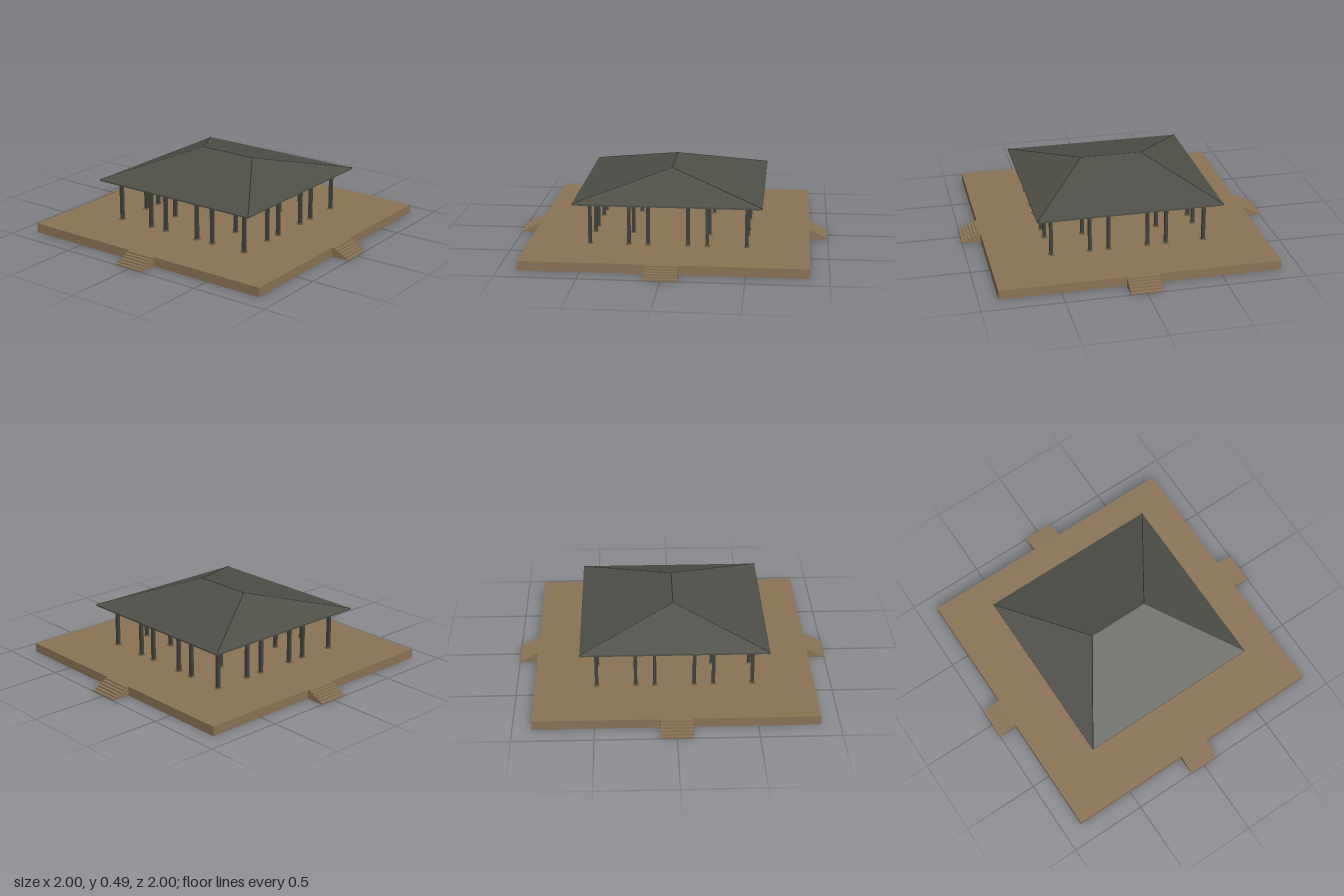
import * as THREE from 'three';

const mat = (name, color) => {
  const m = new THREE.MeshStandardMaterial({ color });
  m.name = name;
  return m;
};

export function createModel() {
  const root = new THREE.Group();
  root.name = 'pavilion';
  const tan = mat('tan stone', 0x8b7355);
  const baseTan = mat('dark tan', 0x75603f);
  const roofGrey = mat('roof grey', 0x4e4f47);
  const frameGrey = mat('frame dark grey', 0x40423c);
  const capGrey = mat('ridge dark', 0x2f312d);

  const group = (name) => {
    const g = new THREE.Group();
    g.name = name;
    root.add(g);
    return g;
  };
  // Box given by its centre in x and z and its bottom and top heights
  const box = (parent, name, m, w, d, y0, y1, x = 0, z = 0) => {
    const b = new THREE.Mesh(new THREE.BoxGeometry(w, y1 - y0, d), m);
    b.position.set(x, (y0 + y1) / 2, z);
    b.name = name;
    parent.add(b);
    return b;
  };

  // Platform
  box(root, 'platform', tan, 1.76, 1.76, 0, 0.06);

  // One flight of steps per side, extruded from a stair profile
  const profile = new THREE.Shape();
  profile.moveTo(0.88, 0);
  for (let i = 0; i < 6; i++) {
    profile.lineTo(0.88 + i * 0.02, 0.06 - i * 0.01);
    profile.lineTo(0.9 + i * 0.02, 0.06 - i * 0.01);
  }
  profile.lineTo(1, 0);
  const stairGeo = new THREE.ExtrudeGeometry(profile, { depth: 0.2, bevelEnabled: false });
  stairGeo.translate(0, 0, -0.1);
  const stairs = group('stairs');
  for (let i = 0; i < 4; i++) {
    const s = new THREE.Mesh(stairGeo, tan);
    s.name = 'stair';
    s.rotation.y = (i * Math.PI) / 2;
    stairs.add(s);
  }

  // Columns: six along each side, plus four inside
  const columns = group('columns');
  const spots = [-0.49, -0.245, -0.125, 0.125, 0.245, 0.49];
  for (const x of spots) {
    for (const z of spots) {
      const outer = Math.abs(x) === 0.49 || Math.abs(z) === 0.49;
      const inner = Math.abs(x) === 0.245 && Math.abs(z) === 0.245;
      if (!outer && !inner) continue;
      box(columns, 'columnBase', baseTan, 0.034, 0.034, 0.06, 0.067, x, z);
      box(columns, 'column', frameGrey, 0.021, 0.021, 0.067, 0.325, x, z);
    }
  }

  // Beam rings over the outer and the inner columns
  const beams = group('beams');
  for (const r of [0.49, 0.245]) {
    for (const s of [-1, 1]) {
      box(beams, 'beam', frameGrey, 2 * r + 0.02, 0.02, 0.31, 0.332, 0, s * r);
      box(beams, 'beam', frameGrey, 0.02, 2 * r - 0.02, 0.31, 0.332, s * r, 0);
    }
  }

  // Hipped roof: eave slab below four slopes meeting at a ridge
  const eave = 0.588, ridge = 0.198, eaveY = 0.34, topY = 0.485;
  box(root, 'eave', roofGrey, 2 * eave, 2 * eave, 0.33, eaveY);
  const A = [-eave, eaveY, eave], B = [eave, eaveY, eave];
  const C = [eave, eaveY, -eave], D = [-eave, eaveY, -eave];
  const L = [-ridge, topY, 0], R = [ridge, topY, 0];
  const faces = [A, B, R, A, R, L, B, C, R, C, D, L, C, L, R, D, A, L];
  const roofGeo = new THREE.BufferGeometry();
  roofGeo.setAttribute('position', new THREE.Float32BufferAttribute(faces.flat(), 3));
  roofGeo.computeVertexNormals();
  const roof = new THREE.Mesh(roofGeo, roofGrey);
  roof.name = 'roofSlopes';
  root.add(roof);

  // Thin caps along the ridge and the hips
  const caps = group('ridgeCaps');
  for (const [p, q] of [[L, R], [A, L], [D, L], [B, R], [C, R]]) {
    const a = new THREE.Vector3(...p), b = new THREE.Vector3(...q);
    const cap = new THREE.Mesh(new THREE.CylinderGeometry(0.003, 0.003, a.distanceTo(b), 6), capGrey);
    cap.name = 'ridgeCap';
    cap.position.copy(a).lerp(b, 0.5);
    cap.quaternion.setFromUnitVectors(new THREE.Vector3(0, 1, 0), b.sub(a).normalize());
    caps.add(cap);
  }
  return root;
}
